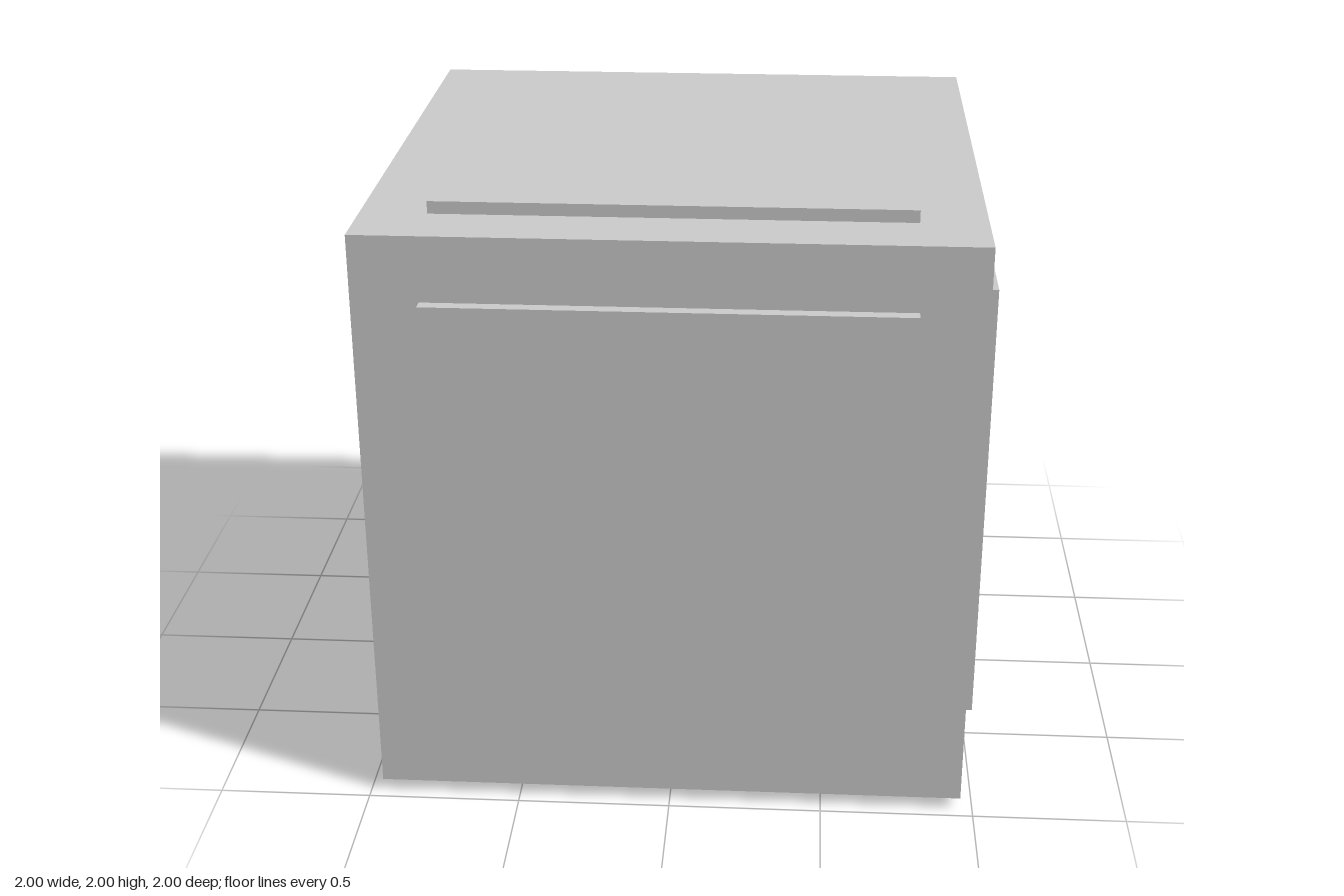
import * as THREE from 'three';

const CORE = 1.92;   // edge of the cube
const PANEL = 1.5;   // edge of each raised panel
const DEPTH = 0.06;  // panel thickness, partly sunk into the cube

export function createModel() {
  const model = new THREE.Group();
  model.name = 'panelledCube';
  const material = new THREE.MeshStandardMaterial({ color: 0xcccccc, flatShading: true });

  // Main cube
  const core = new THREE.Mesh(new THREE.BoxGeometry(CORE, CORE, CORE), material);
  core.name = 'core';
  core.position.y = 1;
  model.add(core);

  // One raised square panel centred on each face
  const panelGeometry = new THREE.BoxGeometry(PANEL, PANEL, DEPTH);
  const faces = {
    frontPanel: [0, 0, 1],
    backPanel: [0, 0, -1],
    leftPanel: [1, 0, 0],
    rightPanel: [-1, 0, 0],
    topPanel: [0, 1, 0],
    bottomPanel: [0, -1, 0],
  };
  const forward = new THREE.Vector3(0, 0, 1);
  for (const [name, direction] of Object.entries(faces)) {
    const normal = new THREE.Vector3(...direction);
    const panel = new THREE.Mesh(panelGeometry, material);
    panel.name = name;
    panel.quaternion.setFromUnitVectors(forward, normal);
    panel.position.set(0, 1, 0).addScaledVector(normal, 1 - DEPTH / 2);
    model.add(panel);
  }
  return model;
}
